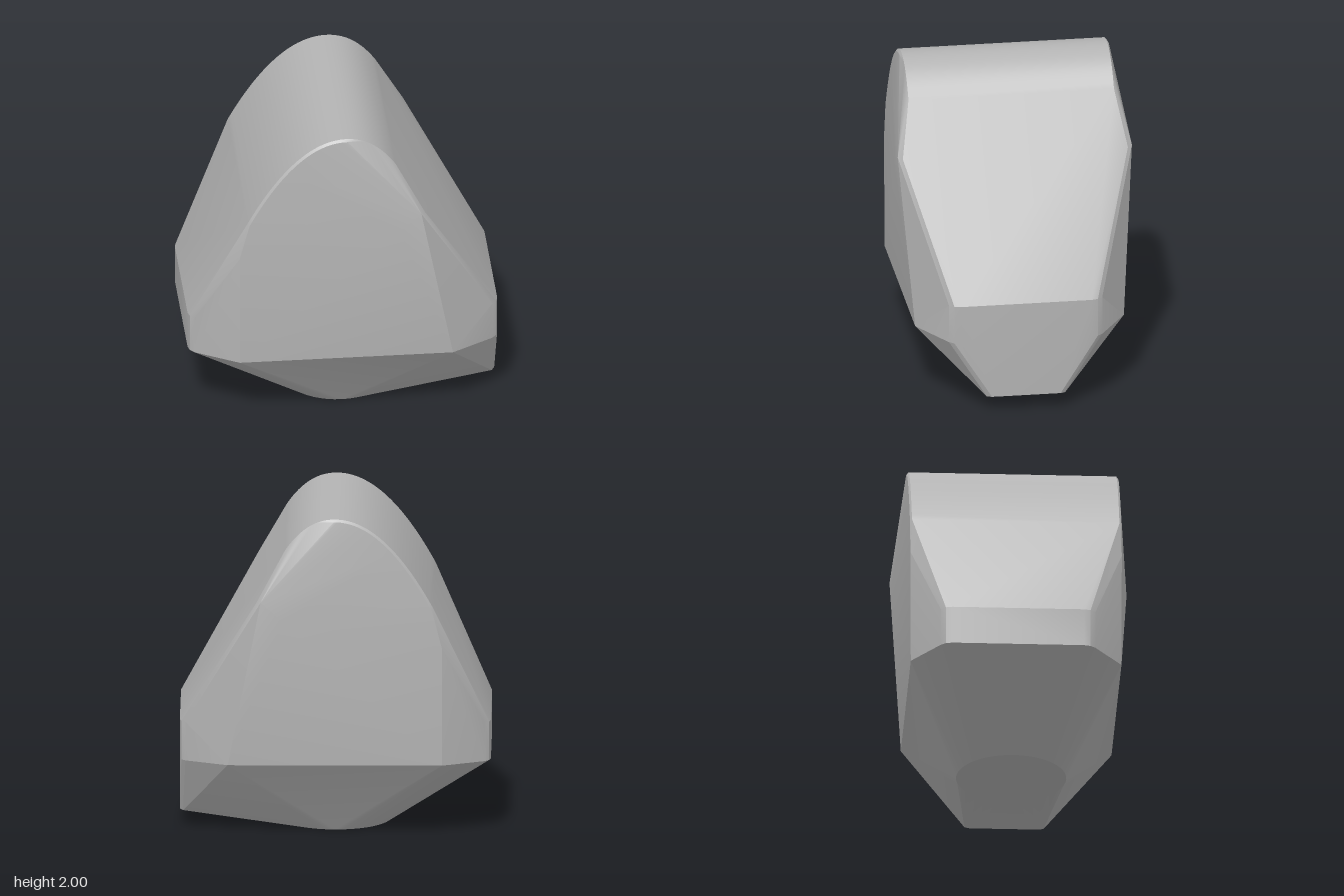
import * as THREE from 'three';
import { ConvexGeometry } from 'three/addons/geometries/ConvexGeometry.js';
import { toCreasedNormals } from 'three/addons/utils/BufferGeometryUtils.js';

export function createModel() {
  const group = new THREE.Group();
  const grey = new THREE.MeshStandardMaterial({ color: 0xb3b3b3 });
  grey.name = 'stone grey';

  const points = [];
  const pair = (x, y, z) => {
    points.push(new THREE.Vector3(x, y, z), new THREE.Vector3(x, y, -z));
  };

  // Round foot
  for (let i = 0; i < 48; i++) {
    const a = (i / 48) * Math.PI * 2;
    points.push(new THREE.Vector3(0.335 * Math.cos(a), 0, 0.335 * Math.sin(a)));
  }

  // Arched crown, with a narrow bevel along its left part
  const archY = (x) => (x < 0 ? 2 - 1.55 * x * x : 2 - 1.5 * x * x - 2 * x ** 3);
  for (let i = 0; i <= 40; i++) {
    const x = -0.6 + (0.9 * i) / 40;
    pair(x, archY(x), 0.63);
    if (x < 0.03) pair(x * 0.985, archY(x) - 0.015, 0.642);
  }
  pair(-0.65, 1.2, 0.642);

  // Widest ridge of the front and back
  pair(0.32, 1.385, 0.716);
  pair(0.45, 1.5, 0.718);
  pair(0.475, 1.495, 0.69);

  // Lower side corners
  pair(-0.65, 0.47, 0.64);
  pair(0.65, 0.47, 0.64);

  // Blunt ends with softened corners
  for (const [z, inset] of [[0.4, 0], [0.44, 0.01], [0.47, 0.035]]) {
    pair(-0.945 + inset, 0.7, z);
    pair(-0.945 + inset, 0.46, z);
    pair(0.943 - inset, 0.7, z);
    pair(0.943 - inset, 0.46, z);
  }
  pair(0.943, 0.1, 0.21);
  pair(0.925, 0.097, 0.24);

  const body = new THREE.Mesh(toCreasedNormals(new ConvexGeometry(points), 0.3), grey);
  body.name = 'facetedBody';
  group.add(body);
  return group;
}
